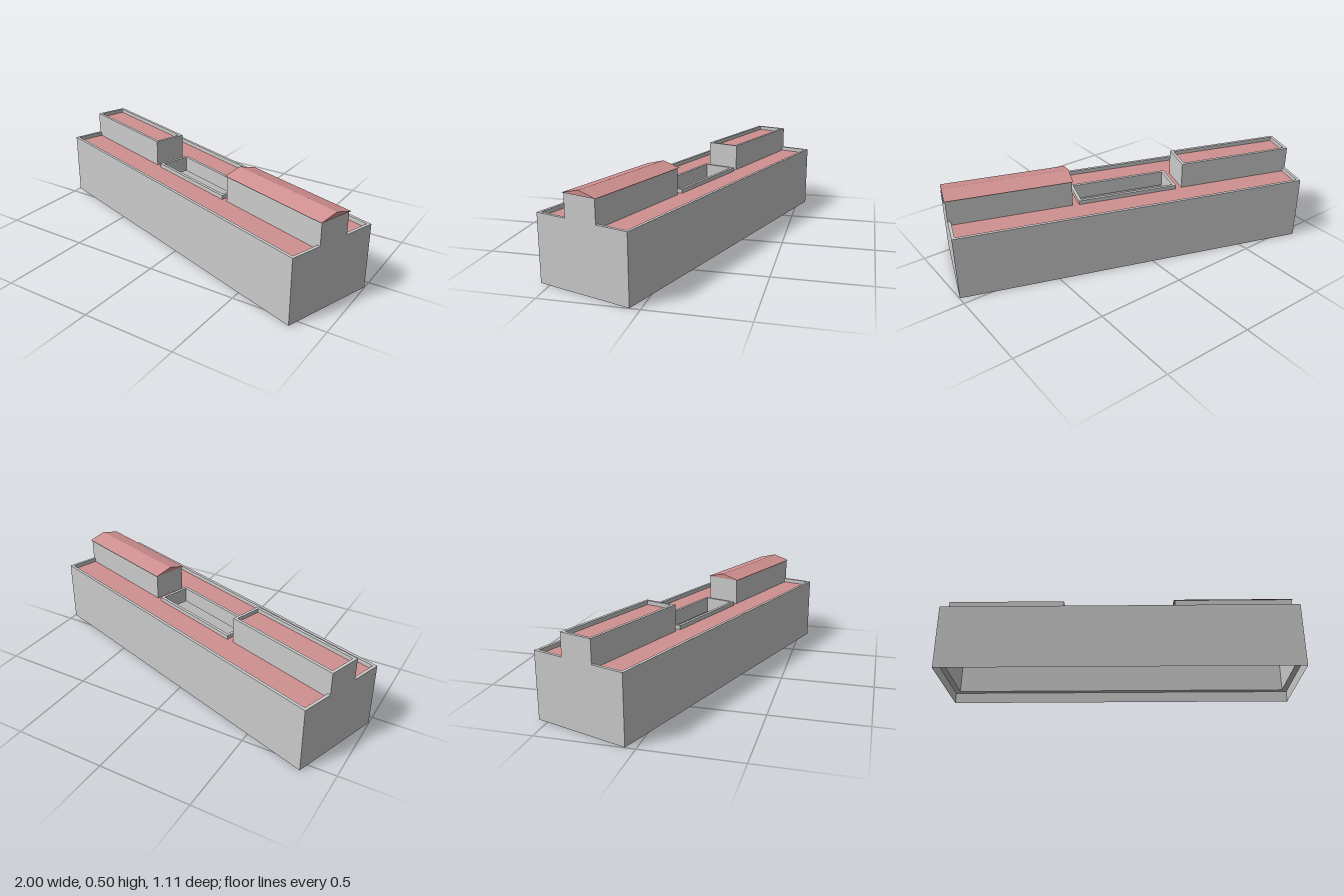
import * as THREE from 'three';
import { mergeGeometries } from 'three/addons/utils/BufferGeometryUtils.js';

const grey = new THREE.MeshStandardMaterial({ color: 0xcccccc, flatShading: true, side: THREE.DoubleSide });
const red = new THREE.MeshStandardMaterial({ color: 0xd09090, flatShading: true, side: THREE.DoubleSide });

// Rectangles are [x0, x1, z0, z1] in the building's own axes.
const grow = ([a, b, c, d], t) => [a - t, b + t, c - t, d + t];
const corners = ([a, b, c, d]) => [[a, d], [b, d], [b, c], [a, c]];

// Horizontal sheet with an optional rectangular opening
function sheet(rect, y, hole) {
  const points = (r) => corners(r).map(([x, z]) => new THREE.Vector2(x, -z));
  const shape = new THREE.Shape(points(rect));
  if (hole) shape.holes.push(new THREE.Path(points(hole).reverse()));
  return new THREE.ShapeGeometry(shape).rotateX(-Math.PI / 2).translate(0, y, 0);
}

// Four upright walls around a rectangle, facing out (or in)
function walls(rect, y0, y1, inward = false) {
  const c = corners(rect);
  return mergeGeometries(c.map((p, i) => {
    const q = c[(i + 1) % 4];
    const [s, e] = inward ? [q, p] : [p, q];
    const length = Math.hypot(e[0] - s[0], e[1] - s[1]);
    return new THREE.PlaneGeometry(length, y1 - y0)
      .rotateY(Math.atan2(s[1] - e[1], e[0] - s[0]))
      .translate((s[0] + e[0]) / 2, (y0 + y1) / 2, (s[1] + e[1]) / 2);
  }));
}

export function createModel() {
  const group = new THREE.Group();
  const building = new THREE.Group();
  building.name = 'building';
  building.rotation.y = -0.3193;
  group.add(building);
  const add = (name, material, ...parts) => {
    const mesh = new THREE.Mesh(mergeGeometries(parts), material);
    mesh.name = name;
    building.add(mesh);
  };

  const rim = 0.016;
  const main = [-0.964, 0.964, -0.2635, 0.2635];
  const mainInner = grow(main, -rim);
  const court = [-0.263, 0.261, -0.079, 0.079];
  const courtOuter = grow(court, rim);
  const top = 0.355, roofY = 0.333, ceilingY = 0.27, ledgeY = 0.06;

  // Main block with raised parapet
  add('mainWalls', grey, walls(main, 0, top));
  add('mainParapet', grey, sheet(main, top, mainInner), walls(mainInner, roofY, top, true));
  add('mainRoof', red, sheet(mainInner, roofY, courtOuter));

  // Hollow underside: ledge, inner walls and ceiling
  const room = grow(main, -0.03);
  add('underside', grey,
    sheet(main, ledgeY, room).scale(1, 1, 1),
    walls(room, ledgeY, ceilingY, true),
    sheet(room, ceilingY, court));

  // Open courtyard shaft and its parapet
  add('courtyard', grey,
    walls(court, ceilingY, top, true),
    sheet(courtOuter, top, court),
    walls(courtOuter, roofY, top));

  // Flat-roofed upper block
  const upper = [-0.964, -0.315, -0.09, 0.09];
  const upperInner = grow(upper, -rim);
  const upperTop = 0.476, upperRoofY = 0.455;
  add('upperBlockWalls', grey,
    walls(upper, roofY, upperTop),
    sheet(upper, upperTop, upperInner),
    walls(upperInner, upperRoofY, upperTop, true));
  add('upperBlockRoof', red, sheet(upperInner, upperRoofY));

  // Gabled upper block
  add('gabledBlockWalls', grey, walls([0.31, 0.964, -0.09, 0.09], roofY, upperTop));
  const gable = new THREE.Shape([[-0.098, 0], [0.098, 0], [0, 0.026]].map((p) => new THREE.Vector2(...p)));
  add('gabledRoof', red,
    new THREE.ExtrudeGeometry(gable, { depth: 0.664, bevelEnabled: false })
      .rotateY(Math.PI / 2).translate(0.304, upperTop, 0));

  return group;
}
